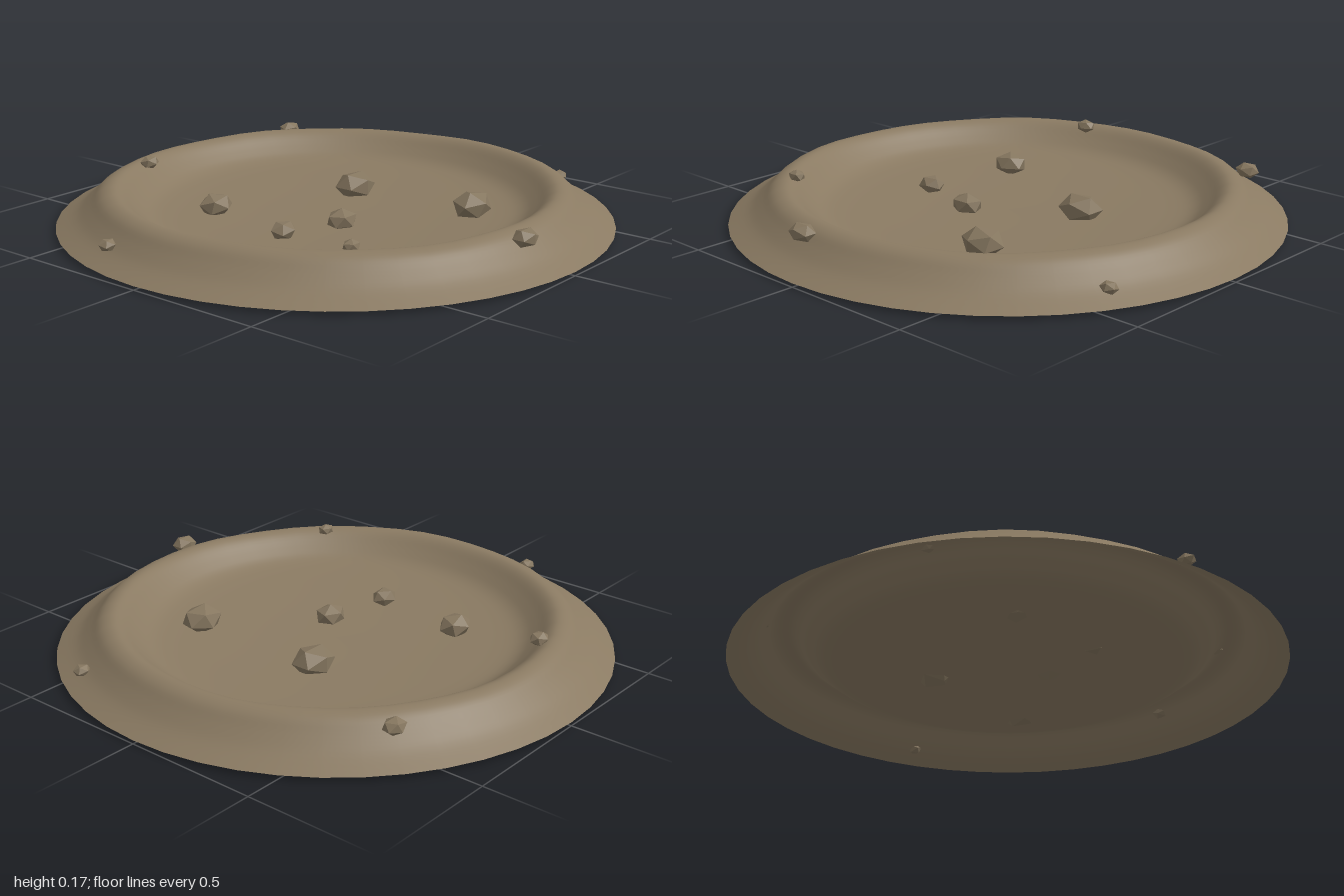
import * as THREE from 'three';

const soil = new THREE.MeshStandardMaterial({ color: 0x8a7a62, side: THREE.DoubleSide });
soil.name = 'dusty soil';
const stone = new THREE.MeshStandardMaterial({ color: 0x85765f, flatShading: true });
stone.name = 'stone';

// Open crater shell: flared outer slope, rounded rim, shallow bowl
function createCrater() {
  const outline = [
    [1, 0.015], [0.93, 0.052], [0.88, 0.092], [0.84, 0.128], [0.8, 0.141],
    [0.765, 0.13], [0.72, 0.092], [0.67, 0.058], [0.6, 0.042], [0.45, 0.031],
    [0.25, 0.022], [0, 0.018],
  ].map(([r, y]) => new THREE.Vector2(r, y));
  const profile = new THREE.SplineCurve(outline).getPoints(44);
  profile[profile.length - 1].x = 0;
  const geometry = new THREE.LatheGeometry(profile, 48);

  // Slight unevenness along the rim
  const p = geometry.attributes.position;
  for (let i = 0; i < p.count; i++) {
    const x = p.getX(i), z = p.getZ(i), y = p.getY(i);
    const a = Math.atan2(z, x);
    const wave = Math.sin(5 * a) + 0.6 * Math.sin(11 * a + 1);
    p.setY(i, y + 0.002 * wave * THREE.MathUtils.smoothstep(y, 0.05, 0.14));
  }
  const crater = new THREE.Mesh(geometry, soil);
  crater.name = 'crater';
  return crater;
}

// Flattened, slightly irregular boulder
function createRock(x, y, z, radius, index) {
  const geometry = new THREE.IcosahedronGeometry(radius, 0);
  geometry.rotateX(index * 0.7);
  geometry.rotateY(index * 1.9);
  geometry.scale(1.03, 0.66, 0.86);
  const rock = new THREE.Mesh(geometry, stone);
  rock.position.set(x, y, z);
  return rock;
}

export function createModel() {
  const model = new THREE.Group();
  model.name = 'crater with rocks';
  model.add(createCrater());

  // x, y, z, radius
  const floorRocks = [
    [0.25, 0.053, -0.11, 0.083], [0.27, 0.068, 0.41, 0.08],
    [-0.29, 0.06, -0.32, 0.067], [-0.1, 0.043, 0.11, 0.062],
    [-0.345, 0.05, 0.05, 0.052],
  ];
  const rimRocks = [
    [-0.1, 0.13, 0.87, 0.05], [0.55, 0.125, -0.7, 0.045],
    [-0.24, 0.142, -0.71, 0.039], [-0.555, 0.145, 0.52, 0.034],
    [-0.9, 0.08, -0.225, 0.033], [0.83, 0.062, 0.43, 0.033],
  ];
  const addRocks = (list, name) => list.forEach((r, i) => {
    const rock = createRock(...r, i);
    rock.name = name + (i + 1);
    model.add(rock);
  });
  addRocks(floorRocks, 'floorRock');
  addRocks(rimRocks, 'rimRock');
  return model;
}
